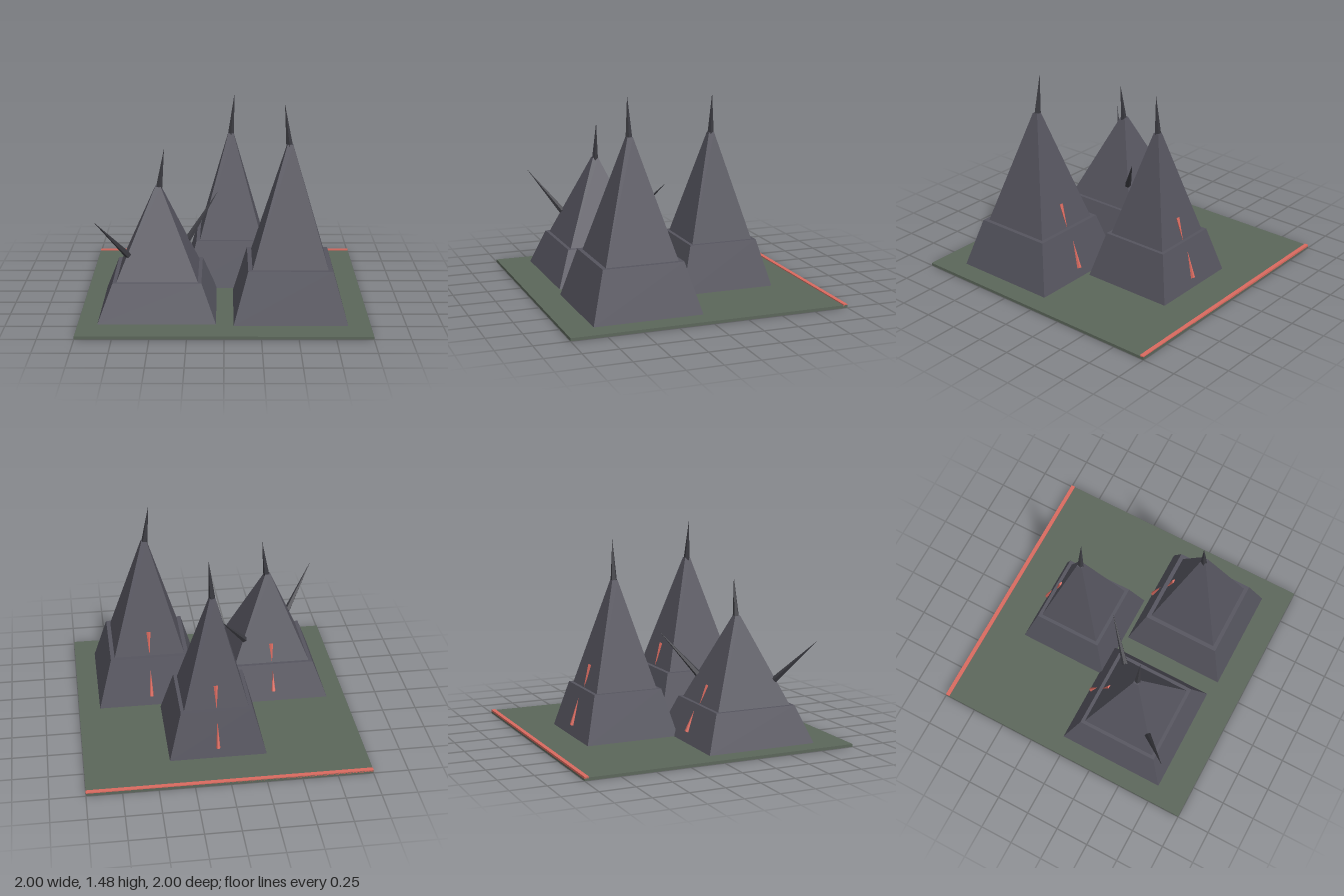
import * as THREE from 'three';

const material = (name, color) => {
  const m = new THREE.MeshStandardMaterial({ color });
  m.name = name;
  return m;
};

// Faceted geometry: every face gets its own normal
function faceted(geometry) {
  const g = geometry.toNonIndexed();
  g.computeVertexNormals();
  return g;
}

function addMesh(parent, name, geometry, mat, x = 0, y = 0, z = 0) {
  const mesh = new THREE.Mesh(geometry, mat);
  mesh.name = name;
  mesh.position.set(x, y, z);
  parent.add(mesh);
  return mesh;
}

// Square frustum between two heights, given half widths
function addFrustum(parent, name, mat, bottomHalf, topHalf, y0, y1) {
  const g = new THREE.CylinderGeometry(topHalf * Math.SQRT2, bottomHalf * Math.SQRT2, y1 - y0, 4, 1, false, Math.PI / 4);
  return addMesh(parent, name, faceted(g), mat, 0, (y0 + y1) / 2, 0);
}

// Pointed cone from a base point to a tip
function addSpike(parent, name, mat, base, tip, radius, sides) {
  const a = new THREE.Vector3(...base), b = new THREE.Vector3(...tip);
  const dir = b.clone().sub(a);
  const g = faceted(new THREE.ConeGeometry(radius, dir.length(), sides));
  const mesh = addMesh(parent, name, g, mat);
  mesh.position.copy(a).add(b).multiplyScalar(0.5);
  mesh.quaternion.setFromUnitVectors(new THREE.Vector3(0, 1, 0), dir.normalize());
  return mesh;
}

export function createModel() {
  const stone = material('dark stone', 0x55545e);
  const thorn = material('black thorn', 0x3b3b41);
  const moss = material('mossy ground', 0x5b665a);
  const ember = material('ember red', 0xd96a5f);

  const model = new THREE.Group();
  model.name = 'spikedTowers';

  // Ground slab with a red rear edge
  addMesh(model, 'ground', new THREE.BoxGeometry(2, 0.02, 2), moss, 0, 0.01, 0);
  addMesh(model, 'rearEdge', new THREE.BoxGeometry(2, 0.014, 0.03), ember, 0, 0.02, -0.985);

  // Offsets (thorn, cracks) are relative to each tower's centre
  const towers = [
    { name: 'lowTower', x: -0.46, z: 0.36, base: 0.405, shoulder: 0.305, upper: 0.28, ledge: 0.28, top: 0.89,
      thornBase: [0.005, 0.86, 0], thornTip: [0.045, 1.16, 0],
      cracks: [[0.09, -0.385, 0.24, -0.327], [0.41, -0.222, 0.28, -0.285]] },
    { name: 'tallTower', x: 0.455, z: 0.405, base: 0.39, shoulder: 0.29, upper: 0.26, ledge: 0.375, top: 1.2,
      thornBase: [-0.004, 1.18, 0], thornTip: [-0.04, 1.48, 0],
      cracks: [[0.09, -0.376, 0.3, -0.318], [0.55, -0.21, 0.375, -0.266]] },
    { name: 'rearTower', x: 0.05, z: -0.36, base: 0.345, shoulder: 0.255, upper: 0.23, ledge: 0.355, top: 1.12,
      thornBase: [0, 1.1, 0], thornTip: [0.025, 1.41, 0],
      cracks: [[0.09, -0.332, 0.29, -0.278], [0.52, -0.186, 0.355, -0.238]] },
  ];

  for (const t of towers) {
    const tower = new THREE.Group();
    tower.name = t.name;
    tower.position.set(t.x, 0, t.z);
    addFrustum(tower, 'lowerTier', stone, t.base, t.shoulder, 0.02, t.ledge);
    addFrustum(tower, 'upperTier', stone, t.upper, 0.02, t.ledge, t.top);
    addSpike(tower, 'topThorn', thorn, t.thornBase, t.thornTip, 0.025, 5);
    // Red shards lying on the rear faces
    for (const [y0, z0, y1, z1] of t.cracks) {
      addSpike(tower, 'redShard', ember, [0, y0, z0], [0, y1, z1], 0.016, 5);
    }
    model.add(tower);
  }

  // Diagonal thorns on opposite corners of the low tower
  const low = model.getObjectByName('lowTower');
  for (const s of [-1, 1]) {
    addSpike(low, 'cornerThorn', thorn, [s * 0.2, 0.45, -s * 0.2], [s * 0.415, 0.75, -s * 0.415], 0.024, 5);
  }
  return model;
}
